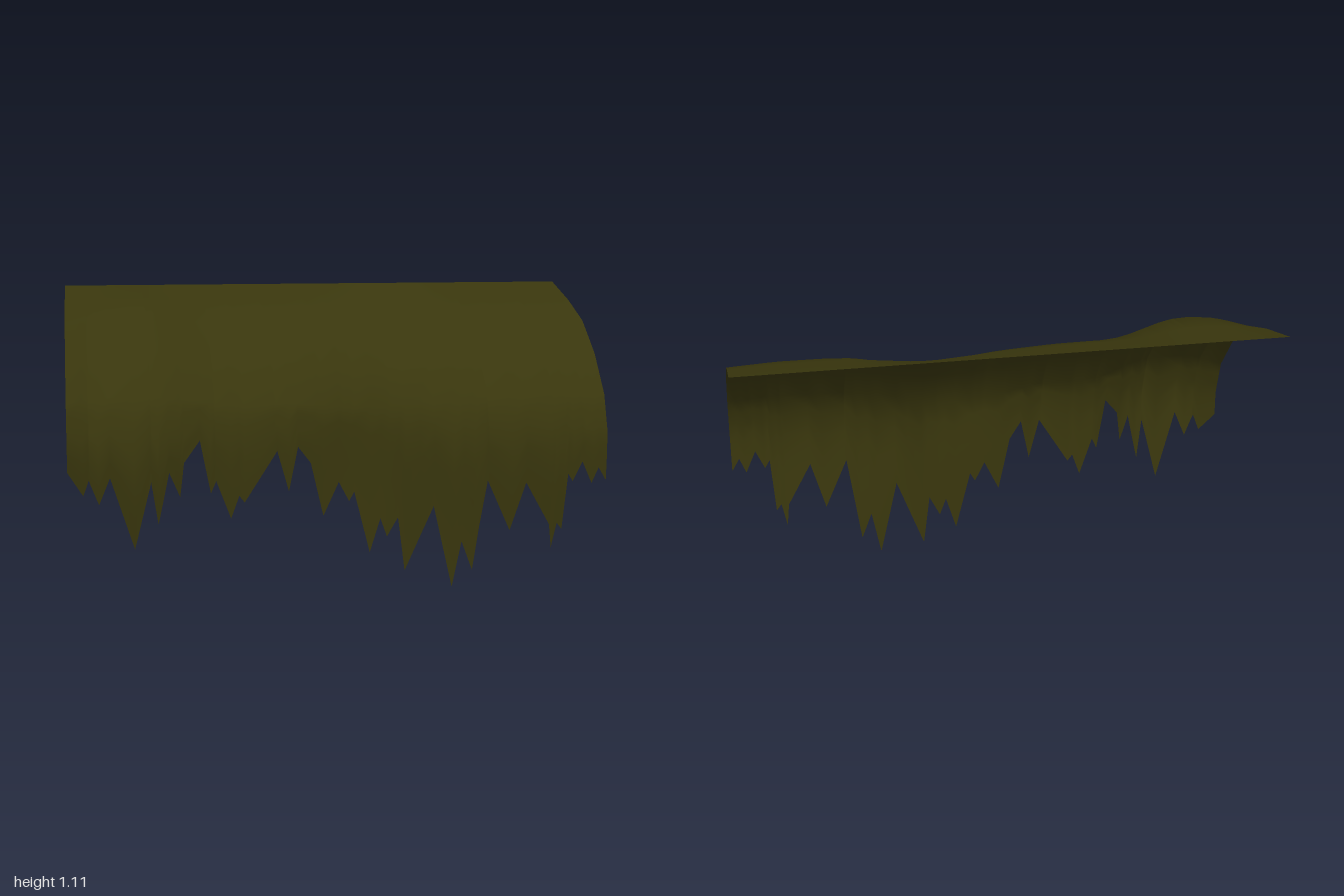
import * as THREE from 'three';

// Ragged hem, left to right: x, y pairs
const HEM = [
  [-1, .48], [-.945, .4], [-.925, .46], [-.89, .37], [-.85, .47], [-.765, .2], [-.705, .45], [-.68, .29],
  [-.64, .48], [-.6, .385], [-.585, .51], [-.525, .585], [-.485, .385], [-.465, .43], [-.41, .285], [-.38, .37],
  [-.36, .345], [-.24, .535], [-.195, .38], [-.16, .545], [-.11, .48], [-.06, .275], [0, .4], [.04, .325],
  [.06, .36], [.12, .125], [.16, .255], [.185, .185], [.225, .26], [.25, .055], [.35, .31], [.42, 0],
  [.455, .175], [.495, .065], [.545, .41], [.635, .215], [.69, .4], [.785, .235], [.795, .145], [.815, .24],
  [.835, .215], [.85, .43], [.87, .4], [.905, .475], [.945, .39], [.97, .45], [1, .4],
];

// Fullness of the hanging folds and of the folds near the top: x, 0 (flat) to 1 (full)
const LOWER = [
  [-1, .61], [-.92, 1], [-.67, 1], [-.47, .4], [-.38, .4], [-.25, .45], [-.08, .14], [.02, 0],
  [.2, 0], [.35, .45], [.52, .61], [.8, .72], [.92, .63], [1, .64],
];
const UPPER = [[-1, .55], [-.85, .95], [-.7, 1], [-.47, .42], [-.25, .42], [0, .32], [.3, 0], [.55, .45], [.8, .48], [1, .4]];

// Share of the upper folds in each row of the profile
const UPPER_SHARE = [1, 1, 1, .6, .25, 0, 0, 0, 0];

// Side profiles (z, y) of the fullest and the flattest fold
const FULL = [[-.415, 1.105], [-.16, 1.07], [.045, 1.035], [.2, .905], [.355, .75], [.415, .58], [.41, .45], [.37, .2], [.37, 0]];
const FLAT = [[-.415, 1.105], [-.2, 1.025], [-.02, .935], [.135, .82], [.21, .68], [.222, .58], [.217, .42], [.216, .2], [.216, 0]];

// Piecewise linear lookup
function lookup(points, x) {
  let i = 1;
  while (i < points.length - 1 && points[i][0] < x) i++;
  const [a, b] = [points[i - 1], points[i]];
  return a[1] + (b[1] - a[1]) * (x - a[0]) / (b[0] - a[0]);
}

// Lookup with softened corners
const soft = (points, x) => (lookup(points, x - .05) + lookup(points, x) + lookup(points, x + .05)) / 3;

// One strip of the cloth from the top edge down to the hem
function column(x) {
  const { lerp } = THREE.MathUtils;
  const lower = soft(LOWER, x), upper = soft(UPPER, x);
  const hem = lookup(HEM, x);
  const profile = FULL.map(([z, y], i) => {
    const t = lerp(lower, upper, UPPER_SHARE[i]);
    return [lerp(FLAT[i][0], z, t), lerp(FLAT[i][1], y, t)];
  });
  const byHeight = profile.map(([z, y]) => [y, z]).reverse();
  const points = profile.slice(0, 5).map(([z, y]) => [x, y, z]);
  const start = profile[4][1];
  const rows = 5;
  for (let r = 1; r <= rows; r++) {
    const y = start + (hem - start) * r / rows;
    points.push([x, y, lookup(byHeight, y)]);
  }
  return points;
}

export function createModel() {
  const cloth = new THREE.MeshStandardMaterial({ color: 0x39360d, side: THREE.DoubleSide });
  cloth.name = 'dark olive cloth';

  // Columns at every hem point and fold line
  const xs = [...new Set([...HEM, ...LOWER, ...UPPER].map((p) => p[0]))].sort((a, b) => a - b);
  const columns = xs.map(column);
  const n = columns[0].length;
  const index = [];
  for (let c = 0; c < xs.length - 1; c++) {
    for (let r = 0; r < n - 1; r++) {
      const a = c * n + r, b = a + n;
      index.push(a, a + 1, b, b, a + 1, b + 1);
    }
  }
  const geometry = new THREE.BufferGeometry();
  geometry.setAttribute('position', new THREE.Float32BufferAttribute(columns.flat(2), 3));
  geometry.setIndex(index);
  geometry.computeVertexNormals();

  const drape = new THREE.Mesh(geometry, cloth);
  drape.name = 'raggedDrape';
  const model = new THREE.Group();
  model.name = 'tatteredCloth';
  model.add(drape);
  return model;
}
